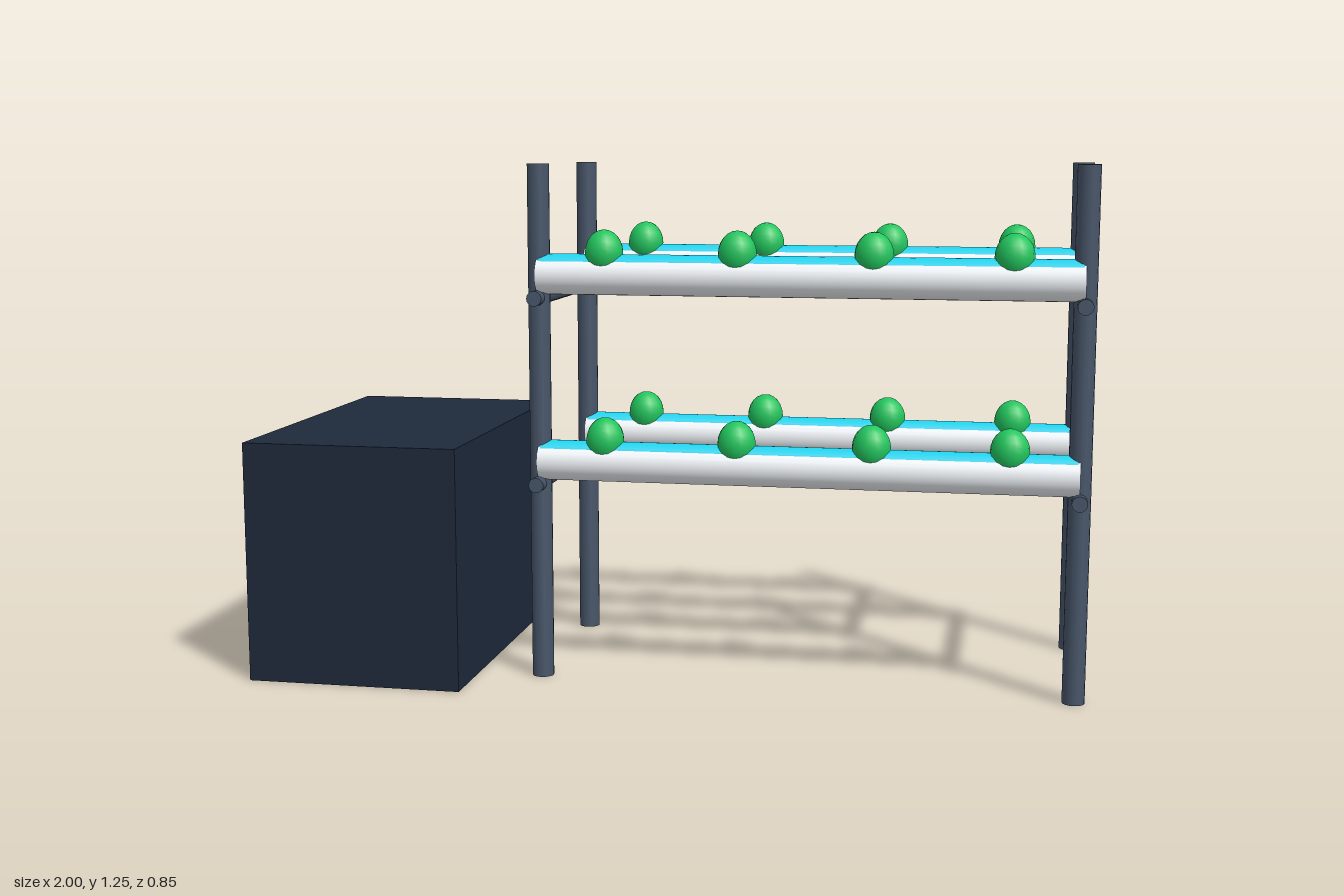
import * as THREE from 'three';

const mat = (color) => new THREE.MeshStandardMaterial({ color });

export function createModel() {
  const root = new THREE.Group();
  root.name = 'plantRack';

  const steel = mat(0x475569);
  const tank = mat(0x1e293b);
  const white = mat(0xf1f5f9);
  const water = mat(0x22d3ee);
  const leaf = mat(0x22c55e);

  const add = (parent, name, geometry, material, x, y, z) => {
    const mesh = new THREE.Mesh(geometry, material);
    mesh.name = name;
    mesh.position.set(x, y, z);
    parent.add(mesh);
    return mesh;
  };

  const xEnds = [-0.31, 0.97];
  const zSides = [-0.242, 0.242];
  const length = xEnds[1] - xEnds[0];
  const xMid = (xEnds[0] + xEnds[1]) / 2;

  // Reservoir beside the rack
  add(root, 'reservoir', new THREE.BoxGeometry(0.53, 0.587, 0.854), tank, -0.735, 0.2935, 0);

  // Shared geometries, laid along their axes
  const postGeo = new THREE.CylinderGeometry(0.0265, 0.0265, 1.25, 16);
  const barGeo = new THREE.CylinderGeometry(0.0185, 0.0185, 0.587, 16).rotateX(Math.PI / 2);
  const pipeGeo = new THREE.CylinderGeometry(0.0465, 0.0465, length, 24).rotateZ(Math.PI / 2);
  const waterGeo = new THREE.CylinderGeometry(0.038, 0.038, length - 0.01, 24).rotateZ(Math.PI / 2);
  const plantGeo = new THREE.SphereGeometry(0.046, 16, 12).scale(1, 1.2, 1);

  // Four upright posts
  for (const x of xEnds)
    for (const z of zSides) add(root, 'post', postGeo, steel, x, 0.625, z);

  // Two tiers: cross bars carrying a pair of planted channels
  for (const y of [0.482, 0.932]) {
    const tier = new THREE.Group();
    tier.name = 'tier';
    tier.position.y = y;
    root.add(tier);

    for (const x of xEnds) add(tier, 'crossBar', barGeo, steel, x, 0, 0);

    for (const z of zSides) {
      add(tier, 'channelPipe', pipeGeo, white, xMid, 0.054, z);
      add(tier, 'waterStrip', waterGeo, water, xMid, 0.067, z);
      for (let i = 0; i < 4; i++) add(tier, 'plant', plantGeo, leaf, -0.15 + i * 0.32, 0.108, z);
    }
  }

  return root;
}
